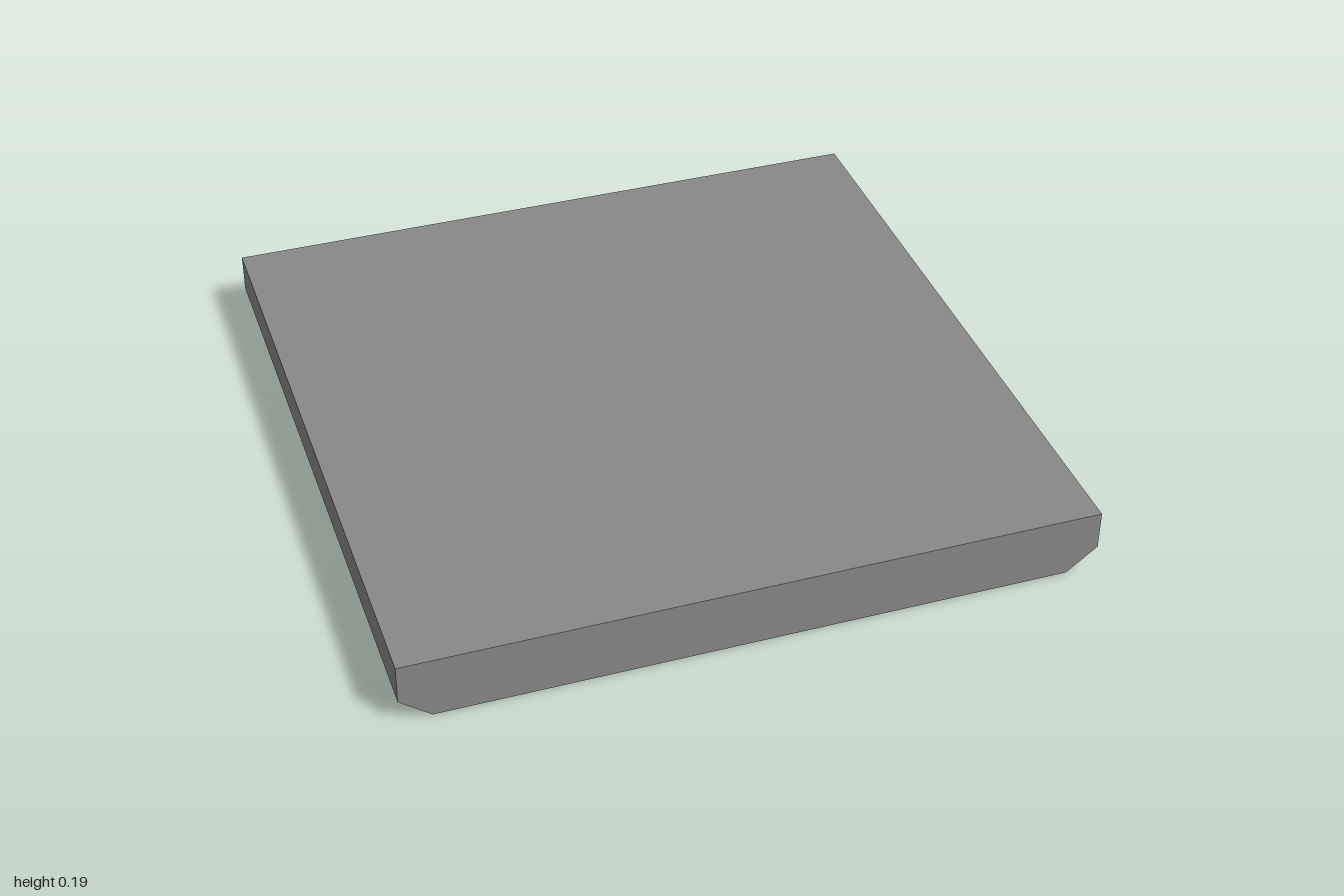
import * as THREE from 'three';

const bodyMaterial = new THREE.MeshStandardMaterial({ color: 0x888888, flatShading: true });
const floorMaterial = new THREE.MeshStandardMaterial({ color: 0x4d4d4d, flatShading: true });

const HEIGHT = 0.187, CHAMFER_Y = 0.07, BASE_X = 0.91, DEPTH = 0.046;

// recesses in the underside: centre z, half sizes of the opening, inset of the floor
const RECESSES = [
  { name: 'frontRecess', z: 0.67, hx: 0.51, hz: 0.21, inset: 0 },
  { name: 'middleRecess', z: 0, hx: 0.625, hz: 0.23, inset: 0.07 },
  { name: 'backRecess', z: -0.67, hx: 0.51, hz: 0.21, inset: 0 },
];

// four corners of a level rectangle, counter-clockwise from above
const ring = (hx, hz, y, z = 0) =>
  [[-hx, y, z + hz], [hx, y, z + hz], [hx, y, z - hz], [-hx, y, z - hz]];

const quad = (a, b, c, d) => [a, b, c, a, c, d].flat();

// walls between successive rings
function walls(rings) {
  const out = [];
  for (let k = 0; k < rings.length - 1; k++) {
    for (let i = 0; i < 4; i++) {
      const j = (i + 1) % 4;
      out.push(...quad(rings[k][i], rings[k][j], rings[k + 1][j], rings[k + 1][i]));
    }
  }
  return out;
}

function addMesh(group, name, geometry, material) {
  const mesh = new THREE.Mesh(geometry, material);
  mesh.name = name;
  group.add(mesh);
}

function surface(positions) {
  const geometry = new THREE.BufferGeometry();
  geometry.setAttribute('position', new THREE.Float32BufferAttribute(positions, 3));
  geometry.computeVertexNormals();
  return geometry;
}

const outline = (PathType, points) =>
  new PathType(points.map(([x, , z]) => new THREE.Vector2(x, z)));

export function createModel() {
  const model = new THREE.Group();
  model.name = 'floorTile';

  // slab sides, chamfered along left and right, with a flat top
  const base = ring(BASE_X, 1, 0);
  const top = ring(1, 1, HEIGHT);
  addMesh(model, 'slab', surface([
    ...walls([base, ring(1, 1, CHAMFER_Y), top]),
    ...quad(...top),
  ]), bodyMaterial);

  // underside with openings, and a shallow recess with a dark floor in each
  const underside = outline(THREE.Shape, base);
  for (const { name, z, hx, hz, inset } of RECESSES) {
    const opening = ring(hx, hz, 0, z);
    const floor = ring(hx - inset, hz - inset, DEPTH, z);
    underside.holes.push(outline(THREE.Path, opening));
    addMesh(model, `${name}Walls`, surface(walls([floor, opening])), bodyMaterial);
    addMesh(model, `${name}Floor`, surface(quad(...floor.reverse())), floorMaterial);
  }
  addMesh(model, 'underside', new THREE.ShapeGeometry(underside).rotateX(Math.PI / 2), bodyMaterial);

  return model;
}
